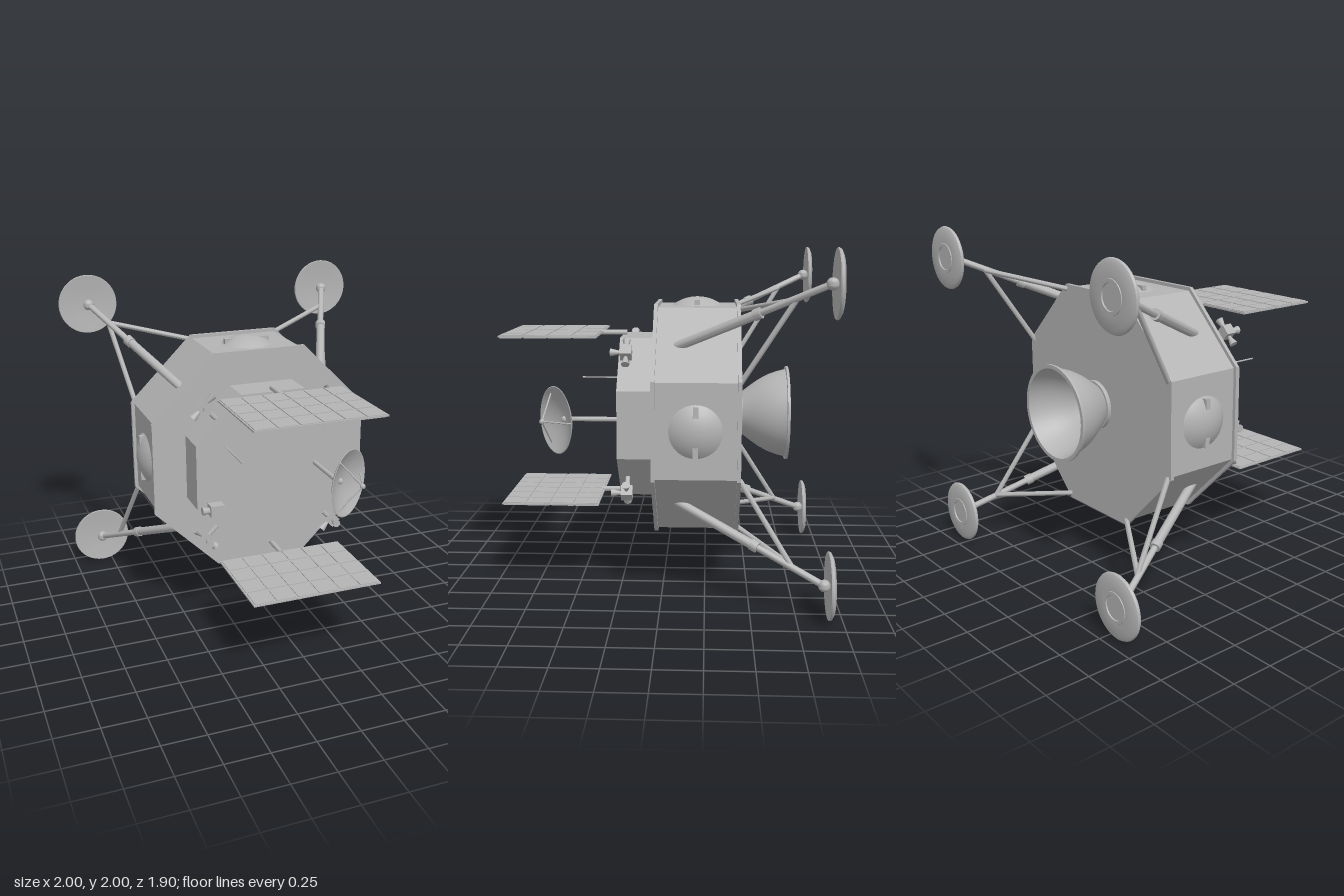
import * as THREE from 'three';
import { toCreasedNormals } from 'three/addons/utils/BufferGeometryUtils.js';

const V = (x, y, z) => new THREE.Vector3(x, y, z);

export function createModel() {
  const root = new THREE.Group();
  root.name = 'lander';
  root.position.y = 1;
  const gray = new THREE.MeshStandardMaterial({ color: 0xb4b4b4 });
  gray.name = 'hullGray';

  function add(parent, name, geo, x = 0, y = 0, z = 0) {
    const m = new THREE.Mesh(toCreasedNormals(geo, 0.6), gray);
    m.name = name;
    m.position.set(x, y, z);
    parent.add(m);
    return m;
  }
  function group(parent, name) {
    const g = new THREE.Group();
    g.name = name;
    parent.add(g);
    return g;
  }
  // Eight-sided prism along z with a given apothem
  function octagon(name, apothem, z0, z1) {
    const r = apothem / Math.cos(Math.PI / 8);
    const g = new THREE.CylinderGeometry(r, r, z1 - z0, 8).rotateY(Math.PI / 8).rotateX(Math.PI / 2);
    return add(root, name, g, 0, 0, (z0 + z1) / 2);
  }
  // Surface of revolution about z from [radius, z] pairs
  function spun(pairs, seg = 40) {
    return new THREE.LatheGeometry(pairs.map(p => new THREE.Vector2(p[0], p[1])), seg).rotateX(Math.PI / 2);
  }
  // Round rod between two points
  function rod(parent, name, a, b, ra, rb = ra, seg = 14) {
    const d = b.clone().sub(a);
    const m = add(parent, name, new THREE.CylinderGeometry(rb, ra, d.length(), seg));
    m.position.copy(a).addScaledVector(d, 0.5);
    m.quaternion.setFromUnitVectors(V(0, 1, 0), d.normalize());
    return m;
  }
  const ball = r => new THREE.SphereGeometry(r, 16, 12);

  // Hull: wide drum between two flanges, with a smaller drum in front
  octagon('mainBody', 0.655, -0.435, 0.04);
  octagon('frontFlange', 0.675, 0.03, 0.052);
  octagon('rearFlange', 0.675, -0.447, -0.425);
  octagon('upperBody', 0.473, 0.05, 0.257);

  // Shallow tank domes with a strap, on four sides
  for (let i = 0; i < 4; i++) {
    const g = group(root, 'tankDome');
    g.rotation.z = i * Math.PI / 2;
    add(g, 'dome', new THREE.SphereGeometry(0.25, 36, 10, 0, Math.PI * 2, 0, 0.645), 0, 0.457, -0.195);
    add(g, 'strap', new THREE.BoxGeometry(0.284, 0.042, 0.03), 0, 0.672, -0.195);
  }

  // Engine bell with thickness, open to the rear
  add(root, 'engineMount', new THREE.CylinderGeometry(0.145, 0.145, 0.03, 40).rotateX(Math.PI / 2), 0, 0, -0.455);
  add(root, 'engineBell', spun([
    [0.284, -0.745], [0.284, -0.73], [0.267, -0.728], [0.255, -0.68], [0.235, -0.625], [0.205, -0.57],
    [0.17, -0.52], [0.13, -0.468], [0, -0.468], [0, -0.472], [0.115, -0.474], [0.16, -0.522],
    [0.195, -0.572], [0.225, -0.627], [0.245, -0.682], [0.262, -0.745], [0.284, -0.745]], 48));

  // Four landing legs and four thruster clusters on the diagonals
  const pad = [[0, -0.944], [0.068, -0.944], [0.07, -0.951], [0.088, -0.951], [0.09, -0.947], [0.16, -0.947],
    [0.182, -0.936], [0.187, -0.926], [0.184, -0.919], [0.172, -0.92], [0.1, -0.928], [0, -0.932]];
  for (const sx of [1, -1]) for (const sy of [1, -1]) {
    const leg = group(root, 'landingLeg');
    const p = (x, y, z) => V(sx * x, sy * y, z);
    const foot = p(0.813, 0.813, -0.9), knee = p(0.645, 0.645, -0.525), hip = p(0.447, 0.447, -0.08);
    add(leg, 'footPad', spun(pad), sx * 0.813, sy * 0.813, 0);
    add(leg, 'ankleBall', ball(0.034), foot.x, foot.y, foot.z);
    rod(leg, 'upperStrut', hip, knee, 0.027);
    rod(leg, 'lowerStrut', knee, foot, 0.019);
    rod(leg, 'collar', knee.clone().lerp(hip, 0.04), knee.clone().lerp(foot, 0.05), 0.032);
    const joint = p(0.728, 0.728, -0.725);
    rod(leg, 'sideBrace', joint, p(0.27, 0.645, -0.44), 0.015);
    rod(leg, 'sideBrace', joint, p(0.645, 0.27, -0.44), 0.015);

    // Local x points outward, y runs along the diagonal face
    const rcs = group(root, 'thrusterCluster');
    rcs.position.set(sx * 0.41, sy * 0.41, 0.205);
    rcs.rotation.z = Math.atan2(sy, sx);
    add(rcs, 'block', new THREE.BoxGeometry(0.066, 0.066, 0.066));
    rod(rcs, 'arm', V(-0.12, 0, 0), V(-0.02, 0, 0), 0.014);
    rod(rcs, 'nozzle', V(0, 0.03, 0), V(0, 0.088, 0), 0.009, 0.024);
    rod(rcs, 'nozzle', V(0, -0.03, 0), V(0, -0.088, 0), 0.009, 0.024);
    rod(rcs, 'nozzle', V(0, 0, 0.03), V(0, 0, 0.09), 0.009, 0.024);
  }

  // Two solar panels: thin plate with a 6 by 4 grid of raised cells
  for (const s of [1, -1]) {
    const g = group(root, 'solarPanel');
    g.position.y = s * 0.493;
    add(g, 'plate', new THREE.BoxGeometry(0.76, 0.009, 0.57), 0, 0, 0.66);
    for (let i = 0; i < 6; i++) for (let j = 0; j < 4; j++)
      add(g, 'cell', new THREE.BoxGeometry(0.114, 0.018, 0.129), (i - 2.5) * 0.1255, 0, 0.66 + (j - 1.5) * 0.1415);
    rod(g, 'stalk', V(0, -s * 0.004, 0.23), V(0, -s * 0.004, 0.395), 0.015);
  }

  // Dish antenna turned toward +x
  rod(root, 'dishMast', V(0.27, 0, 0.25), V(0.27, 0, 0.575), 0.014);
  const dish = group(root, 'dishAntenna');
  dish.position.set(0.315, 0, 0.628);
  dish.rotation.y = 0.63;
  add(dish, 'reflector', spun([[0, -0.066], [0.06, -0.06], [0.12, -0.042], [0.17, -0.019], [0.2, 0],
    [0.195, 0.002], [0.167, -0.013], [0.118, -0.036], [0.06, -0.053], [0, -0.059]], 48));
  add(dish, 'hub', ball(0.018), 0, 0, -0.055);
  add(dish, 'feed', ball(0.016), 0, 0, 0.09);
  for (let i = 0; i < 3; i++) {
    const a = i * Math.PI * 2 / 3;
    rod(dish, 'feedStrut', V(0.17 * Math.cos(a), 0.17 * Math.sin(a), -0.014), V(0, 0, 0.09), 0.005, 0.005, 8);
  }

  // Whip antenna and side-looking camera
  rod(root, 'whipAntenna', V(-0.295, 0.173, 0.25), V(-0.295, 0.173, 0.545), 0.005, 0.005, 8);
  const cam = group(root, 'camera');
  cam.position.set(-0.37, -0.193, 0.295);
  add(cam, 'housing', new THREE.BoxGeometry(0.083, 0.068, 0.066));
  rod(cam, 'lens', V(-0.035, 0, 0), V(-0.085, 0, 0), 0.016, 0.024);
  rod(cam, 'bracket', V(0.01, 0, -0.06), V(0.01, 0, -0.02), 0.015);

  return root;
}
